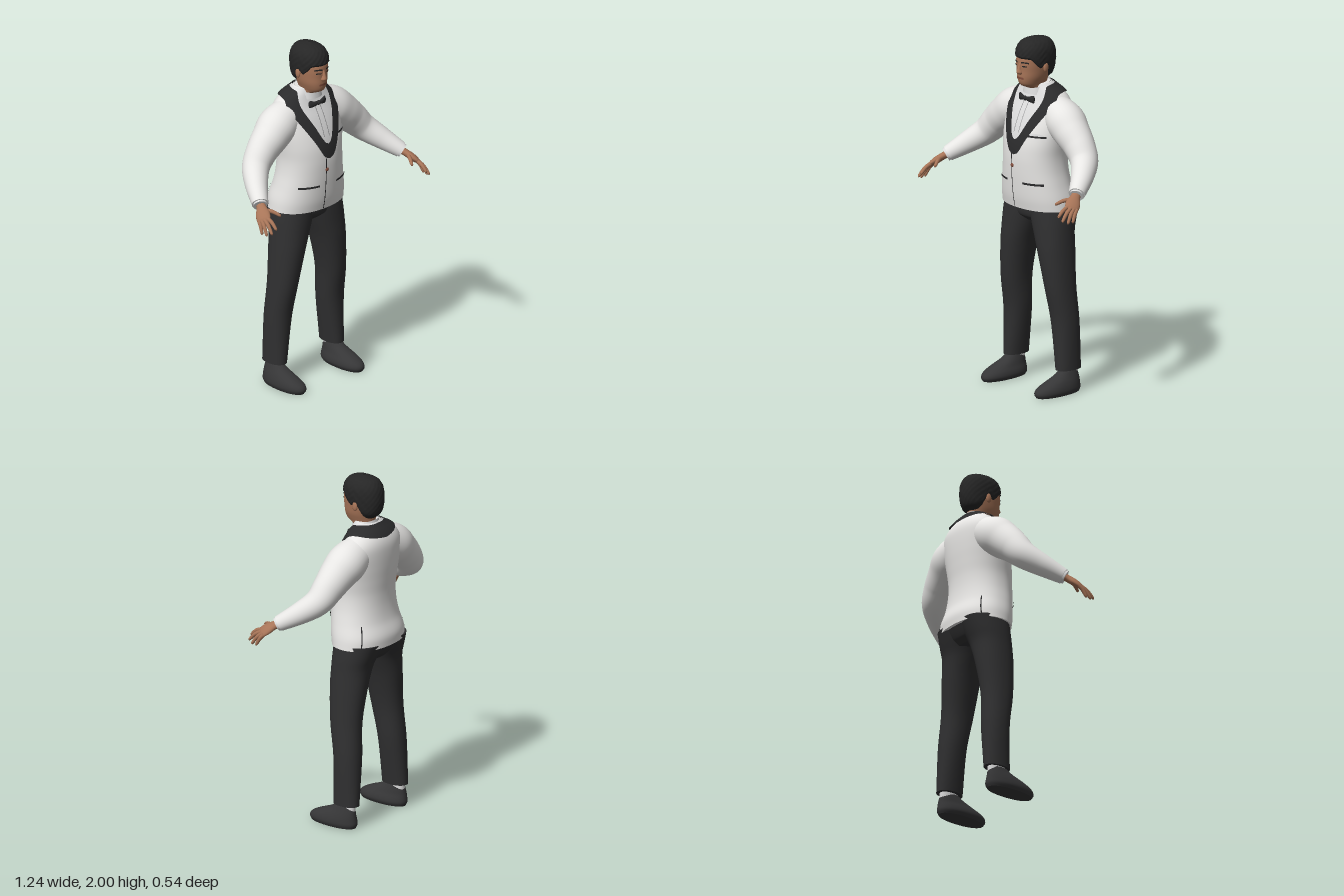
import * as THREE from 'three';

const mat = (name, color, side = THREE.FrontSide) => {
  const m = new THREE.MeshStandardMaterial({ color, side });
  m.name = name;
  return m;
};
const M = {
  jacket: mat('jacket ivory', 0xe8e7e5),
  shirt: mat('shirt white', 0xdcdcdc, THREE.DoubleSide),
  lapel: mat('satin black', 0x2b2b2c, THREE.DoubleSide),
  trousers: mat('trouser charcoal', 0x303031),
  shoe: mat('shoe black', 0x363637),
  hair: mat('hair black', 0x262626, THREE.DoubleSide),
  skin: mat('skin', 0xa87558),
  lips: mat('lip brown', 0x85503f),
  trim: mat('seam grey', 0x8f8f90, THREE.DoubleSide),
};

// Smooth interpolation of table rows, keyed by their first column
function interp(rows, k) {
  const n = rows.length;
  k = Math.min(Math.max(k, rows[0][0]), rows[n - 1][0]);
  let i = 0;
  while (i < n - 2 && k > rows[i + 1][0]) i++;
  const a = rows[i], b = rows[i + 1], p = rows[Math.max(i - 1, 0)], q = rows[Math.min(i + 2, n - 1)];
  const h = b[0] - a[0], t = (k - a[0]) / h, t2 = t * t, t3 = t2 * t;
  return a.slice(1).map((av, j) => {
    const bv = b[j + 1];
    const ma = h * (bv - p[j + 1]) / (b[0] - p[0]), mb = h * (q[j + 1] - av) / (q[0] - a[0]);
    return (2 * t3 - 3 * t2 + 1) * av + (t3 - 2 * t2 + t) * ma + (3 * t2 - 2 * t3) * bv + (t3 - t2) * mb;
  });
}

// Surface from fn(u, v) -> [x, y, z]; wrapped around u and capped on request
function grid(nu, nv, fn, wrap = false, caps = false) {
  const pos = [], idx = [], cols = wrap ? nu : nu + 1;
  const at = (i, j) => j * cols + (wrap ? i % nu : i);
  for (let j = 0; j <= nv; j++) for (let i = 0; i < cols; i++) pos.push(...fn(i / nu, j / nv));
  for (let j = 0; j < nv; j++) for (let i = 0; i < nu; i++) {
    const a = at(i, j), b = at(i + 1, j), c = at(i, j + 1), d = at(i + 1, j + 1);
    idx.push(a, c, b, b, c, d);
  }
  if (caps) for (const v of [0, 1]) {
    const s = pos.length / 3, mid = [0, 0, 0];
    for (let i = 0; i < nu; i++) {
      const p = fn(i / nu, v);
      pos.push(...p);
      p.forEach((c, k) => { mid[k] += c / nu; });
    }
    pos.push(...mid);
    for (let i = 0; i < nu; i++) {
      const e = s + i, f = s + (i + 1) % nu;
      idx.push(s + nu, v ? f : e, v ? e : f);
    }
  }
  const g = new THREE.BufferGeometry();
  g.setAttribute('position', new THREE.Float32BufferAttribute(pos, 3));
  g.setIndex(idx);
  g.computeVertexNormals();
  return g;
}

// Bodies are rows of [y, xMin, xMax, zFront, zBack] with rounded cross-sections
const P = 2.2;
const pw = (c) => Math.sign(c) * Math.abs(c) ** (2 / P);
function onBody(rows, th, y, off = 0) {
  const [x0, x1, zf, zb] = interp(rows, y), c = Math.cos(th), s = Math.sin(th);
  return [(x0 + x1) / 2 + (x1 - x0) / 2 * pw(c) + off * c, y + off * 0.6, (zf + zb) / 2 + (zf - zb) / 2 * pw(s) + off * s];
}
const sym = (rows) => rows.map(([y, r, f, b]) => [y, -r, r, f, b]);
const loft = (rows, nu = 40, nv = 36) => {
  const y0 = rows[0][0], y1 = rows[rows.length - 1][0];
  return grid(nu, nv, (u, v) => onBody(rows, u * Math.PI * 2, y0 + (y1 - y0) * v), true, true);
};
// Thin patch on the front of a body between x and y limits, optionally bent
const plate = (rows, xa, xb, ya, yb, off, bend = 0) => grid(10, 6, (u, v) => {
  const x = xb + (xa - xb) * u, y = ya + (yb - ya) * v + bend * (2 * u - 1) ** 2;
  const r = interp(rows, y)[1];
  return onBody(rows, Math.acos(Math.sign(x) * Math.abs(x / r) ** (P / 2)), y, off);
});
// Patch all round a body, between two heights that depend on the angle in degrees
const band = (rows, low, high, off, nv = 8) => grid(96, nv, (u, v) => {
  const th = u * Math.PI * 2, deg = Math.asin(Math.sin(th)) * 180 / Math.PI;
  const a = low(deg), b = high(deg);
  return onBody(rows, th, a + (b - a) * v, off);
}, true);
// Limb along points [x, y, z, radiusAcross, radiusThick]
function limb(pts, side, nu = 20, nv = 24) {
  const rows = pts.map((p, i) => [i, ...p]), n = pts.length - 1;
  const at = (k) => new THREE.Vector3(...interp(rows, k).slice(0, 3));
  return grid(nu, nv, (u, v) => {
    const k = v * n, [x, y, z, ra, rb] = interp(rows, k);
    const d = at(Math.min(k + 0.05, n)).sub(at(Math.max(k - 0.05, 0))).normalize();
    const s = new THREE.Vector3(...side).addScaledVector(d, -d.dot(new THREE.Vector3(...side))).normalize();
    const t = s.clone().cross(d), a = u * Math.PI * 2;
    return new THREE.Vector3(x, y, z).addScaledVector(s, ra * Math.cos(a)).addScaledVector(t, rb * Math.sin(a)).toArray();
  }, true, true);
}
function mirror(geo) {
  const g = geo.clone().scale(-1, 1, 1), ix = g.index.array;
  for (let i = 0; i < ix.length; i += 3) [ix[i], ix[i + 1]] = [ix[i + 1], ix[i]];
  g.computeVertexNormals();
  return g;
}
const ball = (x, y, z, rx, ry, rz) => new THREE.SphereGeometry(1, 16, 12).scale(rx, ry, rz).translate(x, y, z);

const torso = sym([[1.04, .236, .06, -.265], [1.1, .23, .072, -.265], [1.18, .212, .08, -.24], [1.26, .197, .085, -.228],
  [1.34, .192, .086, -.226], [1.42, .2, .078, -.232], [1.5, .21, .055, -.238], [1.58, .213, .02, -.24], [1.63, .2, -.008, -.236],
  [1.67, .17, -.025, -.222], [1.7, .135, -.035, -.2], [1.72, .1, -.04, -.18], [1.74, .07, -.045, -.16]]);
const head = sym([[1.64, .058, -.03, -.15], [1.71, .057, -.02, -.148], [1.73, .052, .022, -.142], [1.745, .057, .036, -.142],
  [1.78, .069, .044, -.15], [1.82, .076, .045, -.165], [1.86, .08, .047, -.175], [1.9, .08, .042, -.178], [1.95, .066, .012, -.155], [1.975, .03, -.03, -.11]]);
const hairCap = sym([[1.765, .064, .02, -.158], [1.8, .077, .03, -.182], [1.85, .085, .045, -.194], [1.89, .089, .051, -.194],
  [1.93, .087, .047, -.188], [1.96, .076, .033, -.174], [1.985, .051, .003, -.145], [2, .002, -.065, -.075]]);
const leg = [[.13, .165, .267, -.04, -.2], [.4, .125, .268, -.034, -.195], [.6, .105, .257, 0, -.185], [.8, .06, .245, .02, -.197],
  [.92, .018, .237, .022, -.207], [.98, -.005, .234, .022, -.228], [1.06, -.03, .226, .02, -.255]];
const shoe = [[0, .165, .278, .11, -.183], [.02, .154, .287, .121, -.192], [.045, .157, .285, .108, -.19], [.07, .168, .277, .06, -.186],
  [.1, .178, .264, -.015, -.18], [.125, .186, .255, -.055, -.17]];

export function createModel() {
  const model = new THREE.Group();
  const add = (name, geo, m) => {
    const mesh = new THREE.Mesh(geo, m);
    mesh.name = name;
    model.add(mesh);
  };
  const pair = (name, geo, m) => {
    add(name + 'Left', geo, m);
    add(name + 'Right', mirror(geo), m);
  };

  // Trousers, socks and shoes
  add('hips', loft(sym([[.95, .1, -.03, -.19], [.985, .185, .01, -.22], [1.06, .226, .02, -.255]])), M.trousers);
  pair('trouserLeg', loft(leg), M.trousers);
  pair('sock', loft([[.08, .185, .255, -.06, -.18], [.14, .185, .252, -.065, -.18]], 24, 2), M.shirt);
  pair('shoe', loft(shoe, 40, 16), M.shoe);

  // Jacket body, shirt front and shawl collar
  add('jacketBody', loft(torso, 64, 48), M.jacket);
  const inner = (d) => interp([[-90, 1.735], [20, 1.725], [45, 1.7], [60, 1.64], [73, 1.55], [84, 1.45], [90, 1.43]], d)[0];
  const outer = (d) => interp([[-90, 1.665], [-20, 1.69], [14, 1.68], [30, 1.645], [48, 1.58], [66, 1.47], [81, 1.365], [90, 1.345]], d)[0];
  add('shirtFront', band(torso, (d) => inner(d) - .01, () => 1.738, .004, 14), M.shirt);
  add('shawlCollar', band(torso, outer, inner, .009), M.lapel);
  pair('shirtPlacketEdge', plate(torso, .016, .02, 1.47, 1.64, .007), M.trim);

  // Front seam, button, pockets and side vents
  add('frontSeam', plate(torso, -.022, -.017, 1.045, 1.35, .003), M.lapel);
  add('jacketButton', ball(-.014, 1.285, .088, .011, .011, .006), M.lips);
  pair('hipPocket', plate(torso, .06, .172, 1.186, 1.198, .005), M.lapel);
  add('breastPocketWelt', plate(torso, .07, .175, 1.437, 1.46, .004), M.jacket);
  add('breastPocketEdge', plate(torso, .07, .175, 1.458, 1.468, .006), M.lapel);
  add('pocketSquare', plate(torso, .085, .165, 1.468, 1.482, .005, -.008), M.shirt);
  pair('sideVent', grid(2, 10, (u, v) => onBody(torso, (-38 + u * 2 - v * 3) * Math.PI / 180, 1.045 + v * .13, .003)), M.lapel);

  // Sleeves, shirt cuffs and cuff buttons
  pair('sleeve', limb([[.1, 1.59, -.115, .1, .095], [.2, 1.545, -.11, .112, .112], [.27, 1.495, -.1, .102, .102], [.34, 1.435, -.092, .09, .088],
    [.405, 1.367, -.07, .076, .078], [.47, 1.305, .002, .062, .064], [.535, 1.24, .1, .044, .046]], [.3, 1, 0], 32, 48), M.jacket);
  pair('shirtCuff', limb([[.52, 1.255, .077, .037, .037], [.541, 1.234, .109, .039, .039]], [.3, 1, 0], 20, 2), M.shirt);
  for (let i = 0; i < 3; i++) pair('cuffButton' + i, ball(.531 + i * .007, 1.246 - i * .007, .03 + i * .011, .006, .006, .006), M.lips);

  // Hands
  const across = [.45, -.15, -.88];
  pair('palm', limb([[.53, 1.245, .092, .026, .022], [.546, 1.228, .122, .028, .02], [.565, 1.207, .152, .04, .02],
    [.58, 1.188, .176, .04, .016], [.587, 1.176, .189, .032, .01]], across), M.skin);
  const fingers = [[[.568, 1.193, .195], [.57, 1.147, .268]], [[.582, 1.186, .187], [.597, 1.125, .262]],
    [[.591, 1.18, .174], [.61, 1.112, .233]], [[.598, 1.178, .157], [.614, 1.113, .2]]];
  fingers.push([[.548, 1.22, .14], [.498, 1.198, .228]]);
  fingers.forEach(([a, b], i) => {
    const mid = a.map((v, k) => (v + b[k]) / 2 + (k === 1 ? .008 : 0));
    const tip = a.map((v, k) => v + (b[k] - v) * .93);
    pair(i < 4 ? 'finger' + i : 'thumb', limb([[...a, .012, .012], [...mid, .011, .011], [...tip, .008, .008], [...b, .002, .002]], across, 10, 12), M.skin);
  });

  // Shirt collar and bow tie
  const neckband = sym([[1.68, .08, -.008, -.168], [1.76, .064, -.022, -.156]]);
  add('shirtCollar', band(neckband, () => 1.68, (d) => 1.735 - .02 * Math.sin(d * Math.PI / 180), 0, 3), M.shirt);
  pair('bowTieWing', limb([[0, 1.656, .002, .009, .007], [.025, 1.656, .002, .014, .01], [.052, 1.656, -.006, .021, .009],
    [.06, 1.656, -.01, .019, .005]], [0, 1, 0], 16, 12), M.lapel);
  add('bowTieKnot', ball(0, 1.656, .004, .012, .013, .012), M.lapel);

  // Head and face
  add('head', loft(head, 48, 48), M.skin);
  add('nose', loft(sym([[1.798, .01, .046, .02], [1.81, .018, .064, .02], [1.83, .012, .061, .02], [1.866, .007, .049, .02]]), 20, 14), M.skin);
  add('mouth', plate(head, -.026, .026, 1.772, 1.784, .004, -.002), M.lips);
  pair('eye', plate(head, .02, .046, 1.845, 1.852, .003, -.001), M.hair);
  pair('eyebrow', plate(head, .014, .054, 1.866, 1.874, .004, -.003), M.hair);
  pair('ear', ball(.083, 1.835, -.074, .009, .027, .017), M.skin);

  // Hair with a shaped hairline and a slightly tousled surface
  const hairline = [[-90, 1.772], [-40, 1.775], [-15, 1.8], [0, 1.85], [15, 1.83], [30, 1.855], [45, 1.888], [90, 1.893]];
  add('hair', grid(72, 28, (u, v) => {
    const th = u * Math.PI * 2, y0 = interp(hairline, Math.asin(Math.sin(th)) * 180 / Math.PI)[0];
    const y = y0 + (2 - y0) * Math.sin(v * Math.PI / 2);
    const bump = .0025 * Math.sin(17 * th + 40 * y) * Math.sin(150 * y + 3 * th) * (1 - v);
    return onBody(hairCap, th, y, v === 0 ? -.012 : bump);
  }, true), M.hair);
  return model;
}
